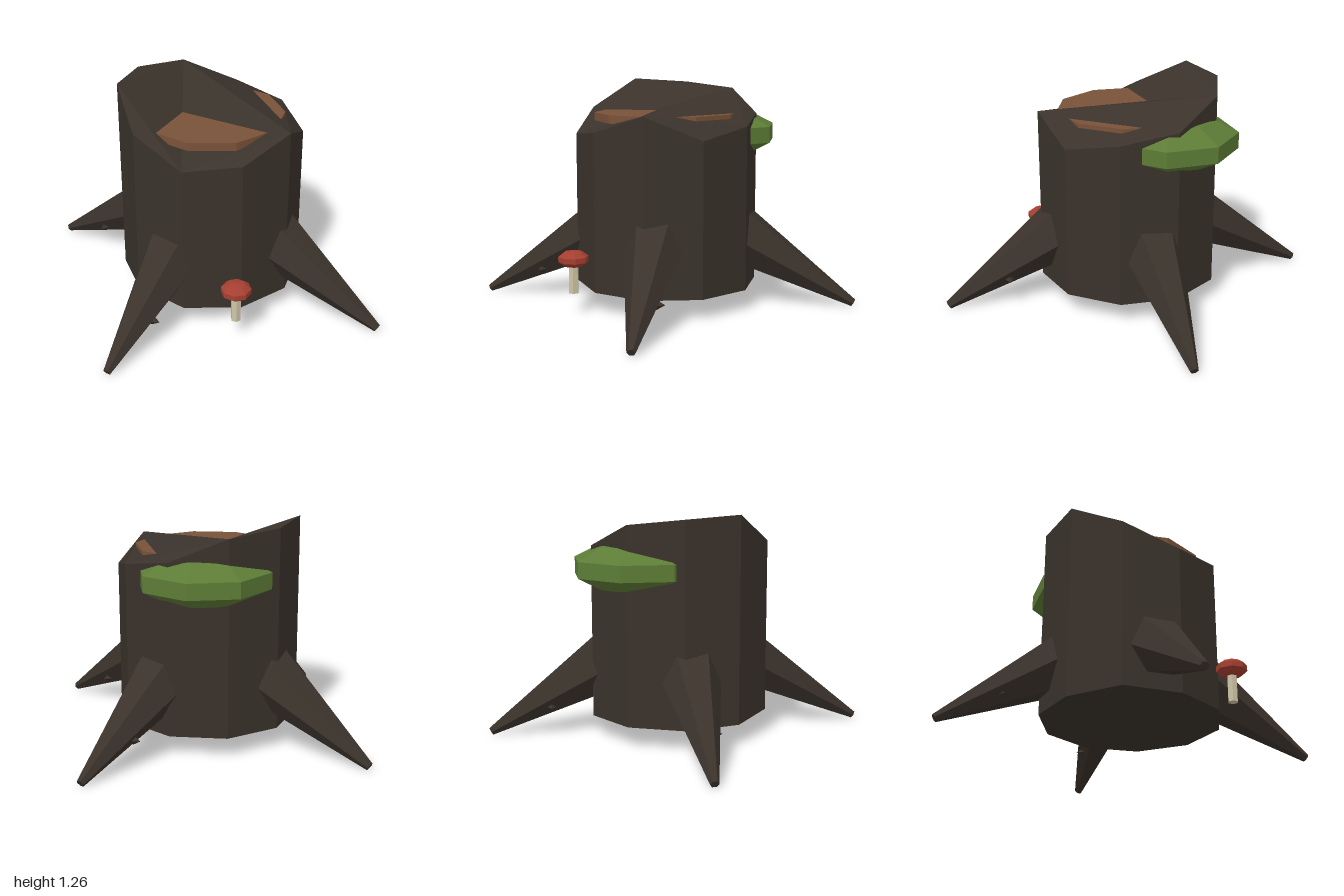
import * as THREE from 'three';

const mat = (color) => new THREE.MeshStandardMaterial({ color, flatShading: true });
const bark = mat(0x3a322b), wood = mat(0x7a5239), moss = mat(0x5d7c36);
const red = mat(0xa53f31), cream = mat(0xcfc4a8);

function add(parent, name, geometry, material, x = 0, y = 0, z = 0) {
  const mesh = new THREE.Mesh(geometry, material);
  mesh.name = name;
  mesh.position.set(x, y, z);
  parent.add(mesh);
  return mesh;
}

// Ten-sided stump with an uneven, broken top
function trunkGeometry() {
  const heights = [1.1, 0.97, 1.0, 1.1, 0.97, 1.03, 1.08, 1.21, 1.24, 1.26];
  const n = heights.length, R = 0.513;
  const ring = (k, y) => [R * Math.sin(k * Math.PI * 2 / n), y, R * Math.cos(k * Math.PI * 2 / n)];
  const top = heights.map((h, k) => ring(k, h));
  const bottom = heights.map((h, k) => ring(k, k === 0 ? 0.135 : 0.12));
  const pos = [];
  const tri = (a, b, c) => pos.push(...a, ...b, ...c);
  for (let k = 0; k < n; k++) {
    const j = (k + 1) % n;
    tri(bottom[k], bottom[j], top[j]);
    tri(bottom[k], top[j], top[k]);
    tri(bottom[j], bottom[k], [0, 0.12, 0]);
  }
  // Cap: five corner triangles, then the inner pentagon fanned from the tall side
  for (let k = 1; k < n; k += 2) tri(top[k], top[(k + 1) % n], top[(k + 2) % n]);
  for (const [a, b] of [[9, 1], [1, 3], [3, 5]]) tri(top[7], top[a], top[b]);
  const g = new THREE.BufferGeometry();
  g.setAttribute('position', new THREE.Float32BufferAttribute(pos, 3));
  g.computeVertexNormals();
  return g;
}

// Tapered six-sided root pointing out along +x and down to the ground
function createRoot() {
  const root = new THREE.Group();
  root.name = 'root';
  const tip = new THREE.Vector3(1.07, 0.021, 0), base = new THREE.Vector3(0.3, 0.467, 0);
  const mid = tip.clone().add(base).multiplyScalar(0.5);
  const dir = tip.clone().sub(base);
  const body = add(root, 'rootBody', new THREE.CylinderGeometry(0.023, 0.195, dir.length(), 6), bark, mid.x, mid.y, 0);
  body.quaternion.setFromUnitVectors(new THREE.Vector3(0, 1, 0), dir.normalize());
  // Small knots on the upper face and one flank
  add(root, 'topKnot', new THREE.ConeGeometry(0.035, 0.05, 4), bark, 0.79, 0.25, 0).rotation.z = -0.5;
  add(root, 'sideKnot', new THREE.ConeGeometry(0.03, 0.05, 4), bark, 0.73, 0.165, -0.085).rotation.x = -Math.PI / 2;
  return root;
}

export function createModel() {
  const model = new THREE.Group();
  model.name = 'treeStump';
  add(model, 'trunk', trunkGeometry(), bark);

  // Inner wood disc showing through the low parts of the top
  add(model, 'innerWood', new THREE.CylinderGeometry(0.41, 0.41, 0.045, 10), wood, 0, 1.0675, 0);

  for (let i = 0; i < 4; i++) {
    const root = createRoot();
    root.rotation.y = -THREE.MathUtils.degToRad(67.2) + i * Math.PI / 2;
    model.add(root);
  }

  // Shelf of moss half sunk into the trunk
  add(model, 'mossShelf', new THREE.SphereGeometry(0.39, 8, 5), moss, -0.24, 0.966, -0.16).scale.y = 0.37;

  // Mushroom beside the trunk
  const mushroom = new THREE.Group();
  mushroom.name = 'mushroom';
  mushroom.position.set(0.56, 0, 0.25);
  add(mushroom, 'mushroomStem', new THREE.CylinderGeometry(0.028, 0.028, 0.17, 6), cream, 0, 0.21, 0);
  add(mushroom, 'mushroomCap', new THREE.SphereGeometry(0.087, 8, 5), red, 0, 0.315, 0).scale.y = 0.55;
  model.add(mushroom);

  return model;
}
